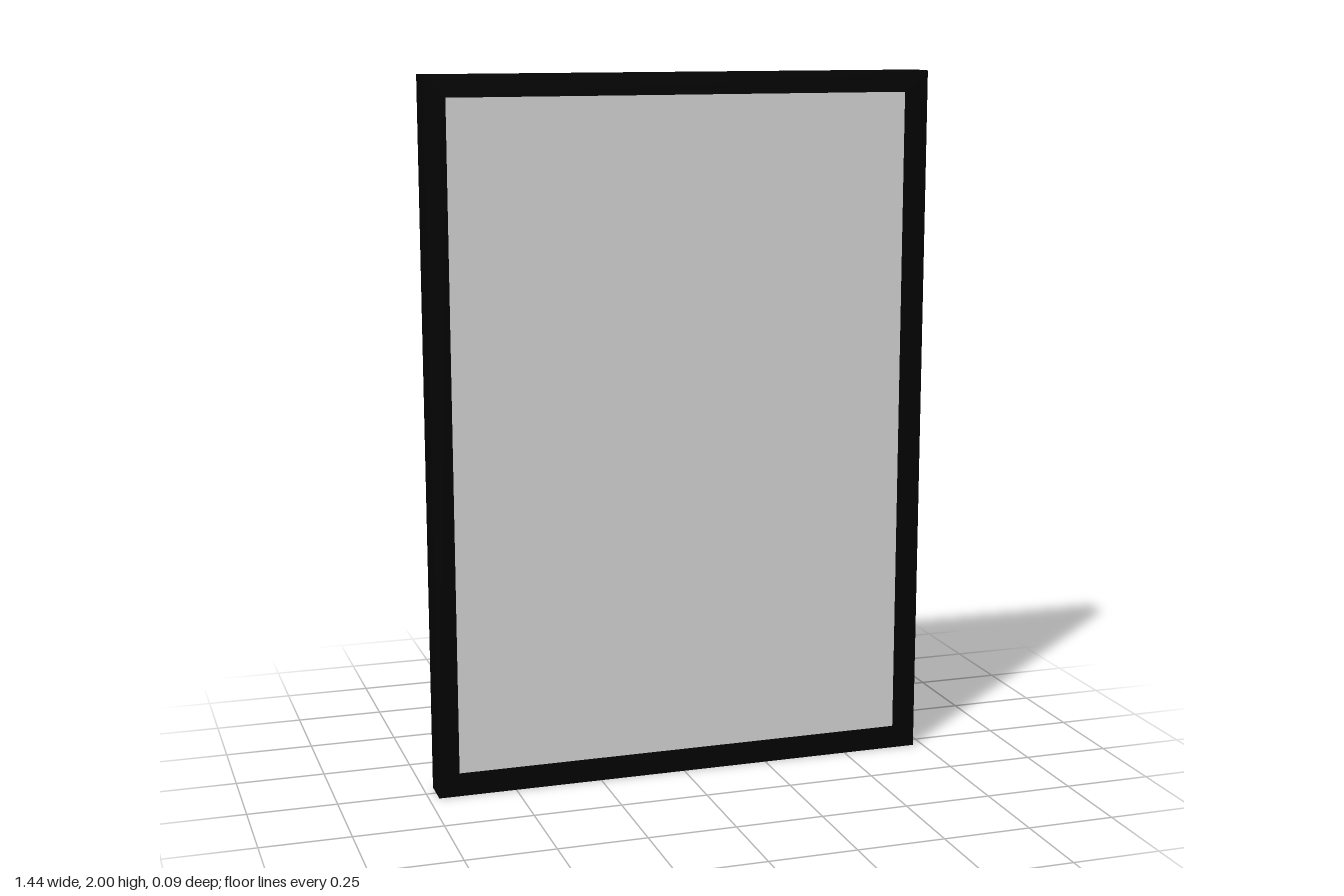
import * as THREE from 'three';

const W = 0.722, H = 1, DEPTH = 0.045; // half width, half height, half depth
const LIP = 0.059, WALL = 0.018; // border widths seen from the front and the back
const GLASS_Z = 0.023, BACK_Z = -0.01; // visible faces of the glass and the backing

const material = (name, color) => Object.assign(new THREE.MeshStandardMaterial({ color }), { name });

export function createModel() {
  const black = material('black frame', 0x020202);
  const grey = material('pale grey glass', 0xd6d6d6);
  const brown = material('brown backing', 0xb78a61);
  const metal = material('steel', 0xc4ccd4);

  const model = new THREE.Group();
  model.name = 'pictureFrame';

  const add = (parent, name, geometry, mat, x = 0, y = 0, z = 0) => {
    const mesh = new THREE.Mesh(geometry, mat);
    mesh.name = name;
    mesh.position.set(x, y, z);
    parent.add(mesh);
    return mesh;
  };
  const box = (parent, name, w, h, d, mat, x, y, z) =>
    add(parent, name, new THREE.BoxGeometry(w, h, d), mat, x, y, z);

  // Rectangular ring with a border of the given width
  const ring = (border, depth) => {
    const rectangle = (Type, w, h) => new Type([
      new THREE.Vector2(-w, -h), new THREE.Vector2(w, -h),
      new THREE.Vector2(w, h), new THREE.Vector2(-w, h),
    ]);
    const shape = rectangle(THREE.Shape, W, H);
    shape.holes.push(rectangle(THREE.Path, W - border, H - border));
    return new THREE.ExtrudeGeometry(shape, { depth, bevelEnabled: false });
  };

  // Rebated frame: wide lip in front, thin wall behind
  add(model, 'frameLip', ring(LIP, DEPTH - GLASS_Z), black, 0, H, GLASS_Z);
  add(model, 'frameWall', ring(WALL, DEPTH + GLASS_Z), black, 0, H, -DEPTH);

  // Thin glass and backing board, held behind the lip
  const innerW = 2 * (W - WALL), innerH = 2 * (H - WALL), sheet = 0.005;
  box(model, 'glass', innerW, innerH, sheet, grey, 0, H, GLASS_Z - sheet / 2);
  box(model, 'backingBoard', innerW, innerH, sheet, brown, 0, H, BACK_Z + sheet / 2);

  // Small points that hold the backing in the frame
  for (const side of [-1, 1]) {
    for (const y of [0.415, 0.8, 1.205, 1.585]) {
      box(model, 'sidePoint', 0.02, 0.01, 0.005, black, side * 0.696, y, BACK_Z - 0.005);
    }
    for (const x of [-0.39, 0.035, 0.4]) {
      box(model, 'endPoint', 0.01, 0.022, 0.005, black, x, H + side * 0.974, BACK_Z - 0.005);
    }
    // Little steel catch on the inside of the side wall
    box(model, 'sideCatch', 0.006, 0.042, 0.024, metal, side * 0.702, 1, -0.0328);
  }

  // Shallow hanging handle with two screwed feet
  const handle = (name, x, y, turn) => {
    const group = new THREE.Group();
    group.name = name;
    const path = new THREE.CatmullRomCurve3([
      [-0.096, -0.004], [-0.086, -0.014], [-0.068, -0.019], [0, -0.021],
      [0.068, -0.019], [0.086, -0.014], [0.096, -0.004],
    ].map(([px, pz]) => new THREE.Vector3(px, 0, pz)));
    const bar = add(group, 'handleBar', new THREE.TubeGeometry(path, 32, 0.009, 10), metal);
    bar.scale.y = 1.4;
    for (const side of [-1, 1]) {
      box(group, 'handleFoot', 0.032, 0.044, 0.006, metal, side * 0.1, 0, -0.003);
      for (const up of [-1, 1]) {
        const screw = add(group, 'handleScrew', new THREE.CylinderGeometry(0.005, 0.005, 0.004, 10),
          metal, side * 0.107, up * 0.015, -0.007);
        screw.rotation.x = Math.PI / 2;
      }
    }
    group.position.set(x, y, BACK_Z);
    group.rotation.z = turn;
    model.add(group);
  };
  handle('topHandle', 0, 1.7, 0);
  handle('sideHandle', -0.452, 1.003, Math.PI / 2);

  return model;
}
